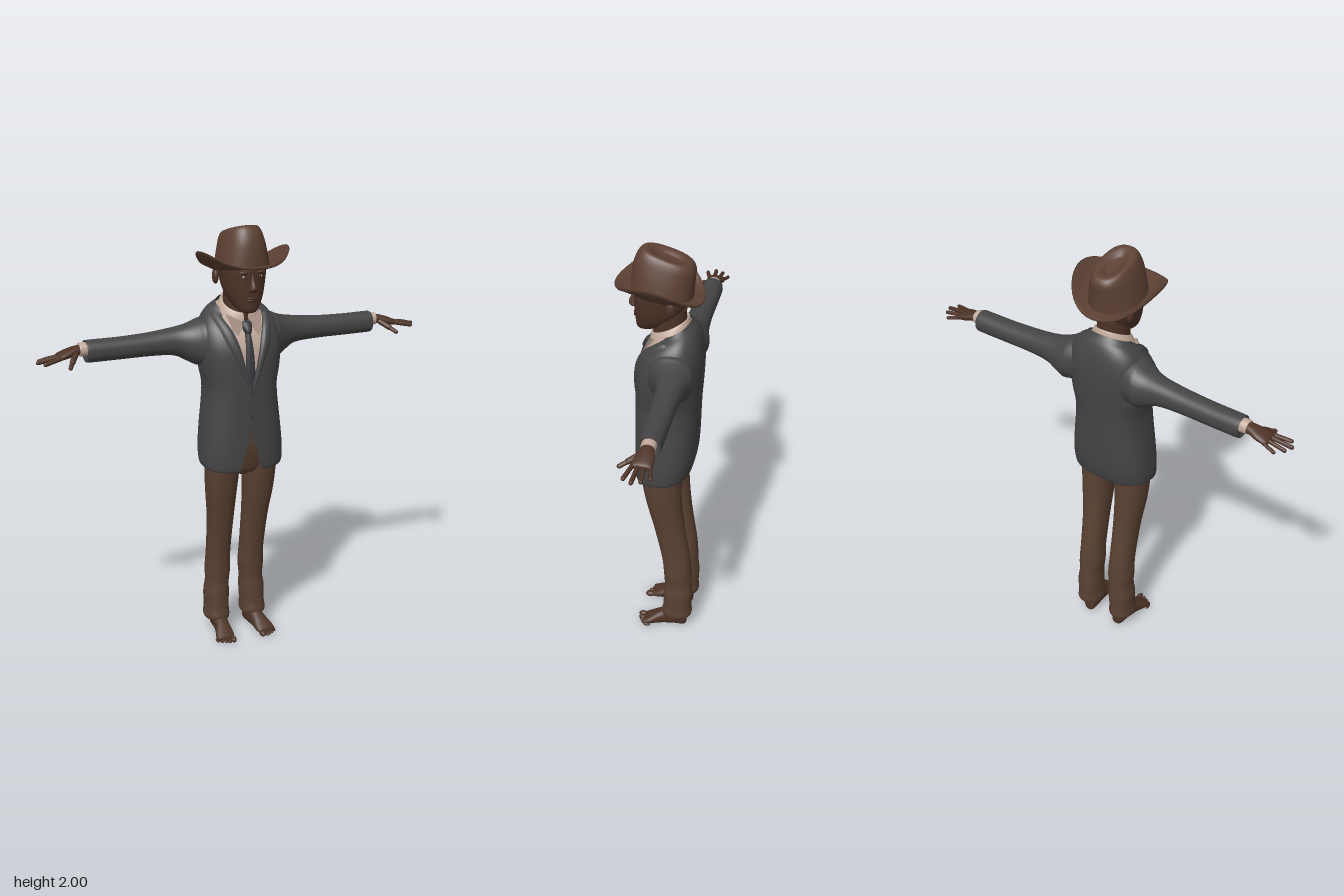
import * as THREE from 'three';
import { mergeVertices, mergeGeometries } from 'three/addons/utils/BufferGeometryUtils.js';

const mat = (name, color) => new THREE.MeshStandardMaterial({ name, color, side: THREE.DoubleSide });

// Smooth surface over an nu x nv grid of points given by fn(i, j)
function grid(nu, nv, fn, flip = false) {
  const pos = [], idx = [];
  for (let j = 0; j <= nv; j++) for (let i = 0; i <= nu; i++) pos.push(...fn(i, j));
  for (let j = 0; j < nv; j++) for (let i = 0; i < nu; i++) {
    const a = j * (nu + 1) + i, b = a + 1, c = a + nu + 1, d = c + 1;
    if (flip) idx.push(a, c, b, b, c, d);
    else idx.push(a, b, c, b, d, c);
  }
  let g = new THREE.BufferGeometry();
  g.setAttribute('position', new THREE.Float32BufferAttribute(pos, 3));
  g.setIndex(idx);
  g = mergeVertices(g, 1e-5);
  g.computeVertexNormals();
  return g;
}

// Catmull-Rom refinement of cross-section rows
function refine(rows, steps = 4) {
  const out = [], at = i => rows[Math.max(0, Math.min(rows.length - 1, i))];
  for (let i = 0; i < rows.length - 1; i++) for (let s = 0; s < steps; s++) {
    const t = s / steps, [p, q, r, e] = [at(i - 1), at(i), at(i + 1), at(i + 2)];
    out.push(q.map((v, k) => 0.5 * (2 * v + (r[k] - p[k]) * t + (2 * p[k] - 5 * v + 4 * r[k] - e[k]) * t * t
      + (3 * v - p[k] - 3 * r[k] + e[k]) * t * t * t)));
  }
  out.push(rows[rows.length - 1]);
  return out;
}

// Row: [position, centre, half width, front, back, roundness, tilt, half width of front opening]
const full = r => [r[0], r[1], r[2], r[3], r[4], r[5] ?? 2.2, r[6] ?? 0, r[7] ?? 0];
function loft(rows, { cap = true, map = null, seg = 32 } = {}) {
  const d = refine(rows.map(full)), last = d.length - 1, off = cap ? 1 : 0;
  return grid(seg, last + 2 * off, (i, j) => {
    const [t, c, rx, f, b, n, tilt, w] = d[Math.max(0, Math.min(last, j - off))];
    const k = cap && (j === 0 || j === last + 2) ? 0 : 1;
    const a0 = w > 1e-4 ? Math.asin(Math.min(1, (w / rx) ** (n / 2))) : 0;
    const a = a0 + (2 * Math.PI - 2 * a0) * i / seg, s = Math.sin(a), co = Math.cos(a);
    const x = c + k * rx * Math.sign(s) * Math.abs(s) ** (2 / n);
    const dz = k * (f - b) / 2 * Math.sign(co) * Math.abs(co) ** (2 / n);
    const p = [x, t - tilt * dz, (f + b) / 2 + dz];
    return map ? map(p) : p;
  }, !!map);
}
const alongX = { map: ([x, y, z]) => [y, x, z] };
const alongZ = { map: ([x, y, z]) => [x, z, y] };

function mirror(g) {
  const m = g.clone().scale(-1, 1, 1), ix = m.index.array;
  for (let i = 0; i < ix.length; i += 3) [ix[i], ix[i + 1]] = [ix[i + 1], ix[i]];
  return m;
}

const blob = (x, y, z, rx, ry, rz) => new THREE.SphereGeometry(1, 16, 12).scale(rx, ry, rz).translate(x, y, z);

function finger(a, b, r) {
  const p = new THREE.Vector3(...a), q = new THREE.Vector3(...b), d = q.clone().sub(p);
  const g = new THREE.CapsuleGeometry(r, d.length(), 4, 10);
  g.applyQuaternion(new THREE.Quaternion().setFromUnitVectors(new THREE.Vector3(0, 1, 0), d.normalize()));
  return g.translate(...p.add(q).multiplyScalar(0.5).toArray());
}

export function createModel() {
  const model = new THREE.Group();
  model.name = 'standingMan';
  const skin = mat('skin', 0x4e3428), hatBrown = mat('hatBrown', 0x5c4033), cloth = mat('trouserBrown', 0x5a4132);
  const grey = mat('jacketGrey', 0x454546), cream = mat('shirtCream', 0xc4ab9c), tieGrey = mat('tieGrey', 0x3a3b3f);
  const lip = mat('lipBrown', 0x43291f), eye = mat('eyeTan', 0xb39a86), pupil = mat('pupilDark', 0x1c1411);
  const add = (name, g, m) => {
    const mesh = new THREE.Mesh(g, m);
    mesh.name = name;
    model.add(mesh);
  };
  const pair = (name, g, m) => {
    add(name + 'Left', g, m);
    add(name + 'Right', mirror(g), m);
  };

  // Jacket body, open at the chest and below the button
  const jacket = [
    [0.885, 0, 0.185, 0.095, -0.15, 2.6, 0.1, 0.075], [0.9, 0, 0.195, 0.103, -0.158, 2.6, 0.1, 0.052],
    [0.97, 0, 0.197, 0.106, -0.172, 2.6, 0.06, 0.03], [1.07, 0, 0.188, 0.106, -0.18, 2.6, 0, 0],
    [1.25, 0, 0.17, 0.106, -0.187, 2.5, 0, 0], [1.35, 0, 0.185, 0.104, -0.193, 2.5, 0, 0.022],
    [1.45, 0, 0.195, 0.095, -0.197, 2.5, 0, 0.045], [1.52, 0, 0.188, 0.07, -0.195, 2.5, 0, 0.065],
    [1.57, 0, 0.17, 0.042, -0.185, 2.4, 0.1, 0.083], [1.605, 0, 0.142, 0.02, -0.168, 2.2, 0.25, 0.096],
    [1.622, 0, 0.115, 0.01, -0.148, 2, 0.42, 0.092], [1.635, 0, 0.098, 0, -0.137, 2, 0.5, 0.086]];
  add('jacketBody', loft(jacket, { cap: false, seg: 48 }), grey);

  // Lapels laid on the jacket front beside the opening
  const dense = refine(jacket).filter(r => r[0] > 1.25 && r[0] < 1.612);
  const lift = [-0.004, 0.008, 0.009, 0.009, 0.008, -0.004];
  pair('lapel', grid(5, dense.length - 1, (i, j) => {
    const [y, , rx, f, b, n, tilt, w] = dense[j];
    const width = 0.008 + 0.05 * Math.min(1, (y - 1.25) / 0.24) - 0.12 * Math.max(0, y - 1.53);
    const x = Math.min(Math.max(w, 0) + width * i / 5, rx * 0.98);
    const dz = (f - b) / 2 * (1 - (x / rx) ** n) ** (1 / n);
    return [x, y - tilt * dz + lift[i] * 0.4, (f + b) / 2 + dz + lift[i]];
  }), grey);
  for (const y of [1.25, 1.14]) {
    add('button', new THREE.CylinderGeometry(0.009, 0.009, 0.008, 16).rotateX(Math.PI / 2).translate(0.004, y, 0.108), tieGrey);
  }

  // Sleeves
  pair('sleeve', loft([
    [0.1, 1.47, 0.11, 0, -0.17], [0.17, 1.47, 0.105, 0.02, -0.185], [0.2, 1.462, 0.1, 0.005, -0.185],
    [0.24, 1.465, 0.083, -0.02, -0.175], [0.3, 1.474, 0.063, -0.042, -0.165], [0.41, 1.472, 0.053, -0.05, -0.158],
    [0.55, 1.469, 0.05, -0.055, -0.157], [0.69, 1.469, 0.05, -0.058, -0.157], [0.706, 1.47, 0.046, -0.062, -0.153],
    [0.702, 1.47, 0.036, -0.072, -0.143]], alongX), grey);

  // Shirt, collar, cuffs and tie
  add('shirt', loft(jacket.slice(4, 11).map(r =>
    [r[0], 0, r[2] - 0.013, r[3] - 0.013, r[4] + 0.013, r[5], r[6], 0])), cream);
  add('shirtCollar', loft([
    [1.598, 0, 0.104, 0.046, -0.138, 2, 0.5, 0.016], [1.625, 0, 0.092, 0.043, -0.134, 2, 0.5, 0.01],
    [1.648, 0, 0.078, 0.036, -0.128, 2, 0.5, 0.012], [1.643, 0, 0.072, 0.03, -0.122, 2, 0.5, 0.014]], { cap: false }), cream);
  const flap = new THREE.Shape([[0.012, 1.565], [0.085, 1.605], [0.068, 1.535], [0.05, 1.512]]
    .map(p => new THREE.Vector2(...p)));
  const flapG = mergeVertices(new THREE.ExtrudeGeometry(flap, { depth: 0.006, bevelEnabled: false }));
  const fp = flapG.attributes.position;
  for (let i = 0; i < fp.count; i++) {
    fp.setZ(i, fp.getZ(i) + 0.062 - 0.55 * (fp.getY(i) - 1.53) - 0.25 * Math.max(0, fp.getX(i) - 0.03));
  }
  pair('collarPoint', flapG, cream);
  pair('shirtCuff', loft([
    [0.69, 1.48, 0.031, -0.077, -0.141], [0.732, 1.48, 0.03, -0.078, -0.14], [0.736, 1.48, 0.026, -0.082, -0.136]], alongX), cream);
  add('tieBlade', loft([
    [1.255, 0, 0.006, 0.104, 0.085], [1.3, 0, 0.022, 0.105, 0.085], [1.4, 0, 0.021, 0.1, 0.075],
    [1.48, 0, 0.016, 0.087, 0.06], [1.535, 0, 0.012, 0.07, 0.03]], { seg: 16 }), tieGrey);
  add('tieKnot', loft([
    [1.52, 0, 0.013, 0.08, 0.04], [1.535, 0, 0.02, 0.079, 0.03], [1.56, 0, 0.024, 0.066, 0.02],
    [1.572, 0, 0.02, 0.052, 0.02]], { seg: 16 }), tieGrey);

  // Hands with spread fingers
  pair('hand', loft([
    [0.7, 1.481, 0.022, -0.085, -0.135], [0.75, 1.478, 0.021, -0.078, -0.14], [0.79, 1.468, 0.02, -0.066, -0.149],
    [0.825, 1.46, 0.015, -0.06, -0.148], [0.838, 1.457, 0.009, -0.068, -0.14]], alongX), skin);
  const fingers = [
    [[0.82, 1.46, -0.07], [0.903, 1.445, -0.048], 0.0095], [[0.82, 1.461, -0.092], [0.926, 1.446, -0.085], 0.0095],
    [[0.82, 1.46, -0.115], [0.912, 1.445, -0.12], 0.009], [[0.81, 1.458, -0.136], [0.88, 1.442, -0.152], 0.008],
    [[0.755, 1.468, -0.085], [0.785, 1.445, -0.04], 0.013], [[0.785, 1.445, -0.04], [0.803, 1.429, -0.008], 0.01]];
  pair('fingers', mergeGeometries(fingers.map(f => finger(...f))), skin);

  // Trousers
  pair('trouserLeg', loft([
    [0.085, 0.092, 0.045, -0.055, -0.155], [0.07, 0.094, 0.057, -0.037, -0.17], [0.09, 0.095, 0.061, -0.031, -0.179],
    [0.13, 0.094, 0.058, -0.038, -0.176], [0.2, 0.093, 0.06, -0.04, -0.179], [0.26, 0.089, 0.055, -0.043, -0.175],
    [0.33, 0.087, 0.06, -0.038, -0.172], [0.42, 0.087, 0.056, -0.028, -0.164], [0.6, 0.089, 0.06, 0.01, -0.137],
    [0.75, 0.094, 0.071, 0.045, -0.122], [0.87, 0.093, 0.078, 0.066, -0.12], [0.95, 0.09, 0.078, 0.07, -0.12]]), cloth);
  add('trouserSeat', loft([
    [0.835, 0, 0.03, 0.02, -0.08], [0.86, 0, 0.1, 0.055, -0.115], [0.92, 0, 0.165, 0.074, -0.13],
    [1, 0, 0.168, 0.088, -0.145], [1.1, 0, 0.155, 0.09, -0.15]]), cloth);

  // Bare feet
  pair('ankle', loft([[0.04, 0.09, 0.032, -0.06, -0.145], [0.09, 0.091, 0.031, -0.065, -0.142], [0.16, 0.092, 0.034, -0.07, -0.145]]), skin);
  pair('foot', loft([
    [-0.15, 0.085, 0.018, 0.045, 0.008], [-0.135, 0.086, 0.03, 0.075, 0], [-0.08, 0.089, 0.035, 0.1, 0],
    [-0.02, 0.097, 0.038, 0.075, 0], [0.025, 0.104, 0.045, 0.048, 0], [0.058, 0.108, 0.042, 0.028, 0.003]], alongZ), skin);
  const toes = [0, 1, 2, 3, 4].map(i => {
    const r = i ? 0.0095 - i * 0.0005 : 0.014;
    return blob(0.077 + i * 0.0165 + (i ? 0.004 : 0), r, 0.068 - i * i * 0.0018, r, r, 0.024 - i * 0.0015);
  });
  pair('toes', mergeGeometries(toes), skin);

  // Head and face
  add('neck', loft([[1.53, 0, 0.075, 0.025, -0.125], [1.62, 0, 0.068, 0.03, -0.115], [1.74, 0, 0.07, 0.04, -0.118]]), skin);
  add('head', loft([
    [1.617, 0, 0.025, 0.09, 0.045], [1.627, 0, 0.042, 0.103, 0.01], [1.655, 0, 0.064, 0.108, -0.045],
    [1.7, 0, 0.084, 0.112, -0.095], [1.76, 0, 0.097, 0.115, -0.128], [1.82, 0, 0.102, 0.119, -0.135],
    [1.87, 0, 0.09, 0.1, -0.12]]), skin);
  add('nose', loft([
    [1.714, 0, 0.011, 0.122, 0.09], [1.722, 0, 0.021, 0.135, 0.09], [1.738, 0, 0.017, 0.14, 0.09],
    [1.772, 0, 0.01, 0.125, 0.09], [1.805, 0, 0.009, 0.118, 0.09]], { seg: 16 }), skin);
  add('lips', mergeGeometries([blob(0, 1.688, 0.108, 0.026, 0.006, 0.009), blob(0, 1.677, 0.107, 0.022, 0.007, 0.01)]), lip);
  pair('ear', blob(0.104, 1.765, -0.03, 0.014, 0.036, 0.022).rotateX(-0.02), skin);
  pair('brow', blob(0.037, 1.804, 0.108, 0.026, 0.008, 0.012), skin);
  pair('eye', blob(0.036, 1.785, 0.108, 0.013, 0.006, 0.006), eye);
  pair('pupil', blob(0.036, 1.785, 0.112, 0.005, 0.0055, 0.0035), pupil);

  // Hat crown with a dented top sloping to the back
  add('hatCrown', loft([
    [1.8, 0, 0.122, 0.127, -0.147, 2.2, -0.15], [1.86, 0, 0.11, 0.122, -0.15, 2.2, -0.2],
    [1.91, 0, 0.097, 0.112, -0.154, 2.3, -0.25], [1.95, 0, 0.083, 0.092, -0.156, 2.4, -0.3],
    [1.972, 0, 0.068, 0.07, -0.142, 2.4, -0.3], [1.972, 0, 0.047, 0.045, -0.115, 2.2, -0.3],
    [1.957, 0, 0.024, 0.015, -0.085, 2, -0.3]], { seg: 40 }), hatBrown);

  // Hat brim curling up at the sides, with a rolled edge
  const ring = [[0, 0.004], [0.25, 0.004], [0.5, 0.004], [0.75, 0.004], [0.95, 0.006], [1, 0],
    [0.95, -0.006], [0.75, -0.004], [0.5, -0.004], [0.25, -0.004], [0, -0.004]];
  add('hatBrim', grid(56, ring.length - 1, (i, j) => {
    const a = i / 56 * Math.PI * 2, [s, h] = ring[j], sn = Math.sin(a), co = Math.cos(a);
    const x = sn * (0.112 + 0.098 * s), z = co * (0.13 + 0.066 * s) - 0.008 * (1 - s);
    const curl = 0.088 * s ** 1.7 * Math.abs(sn) ** 2.6;
    return [x, 1.806 + 0.16 * z + curl + h, z];
  }, true), hatBrown);

  return model;
}
